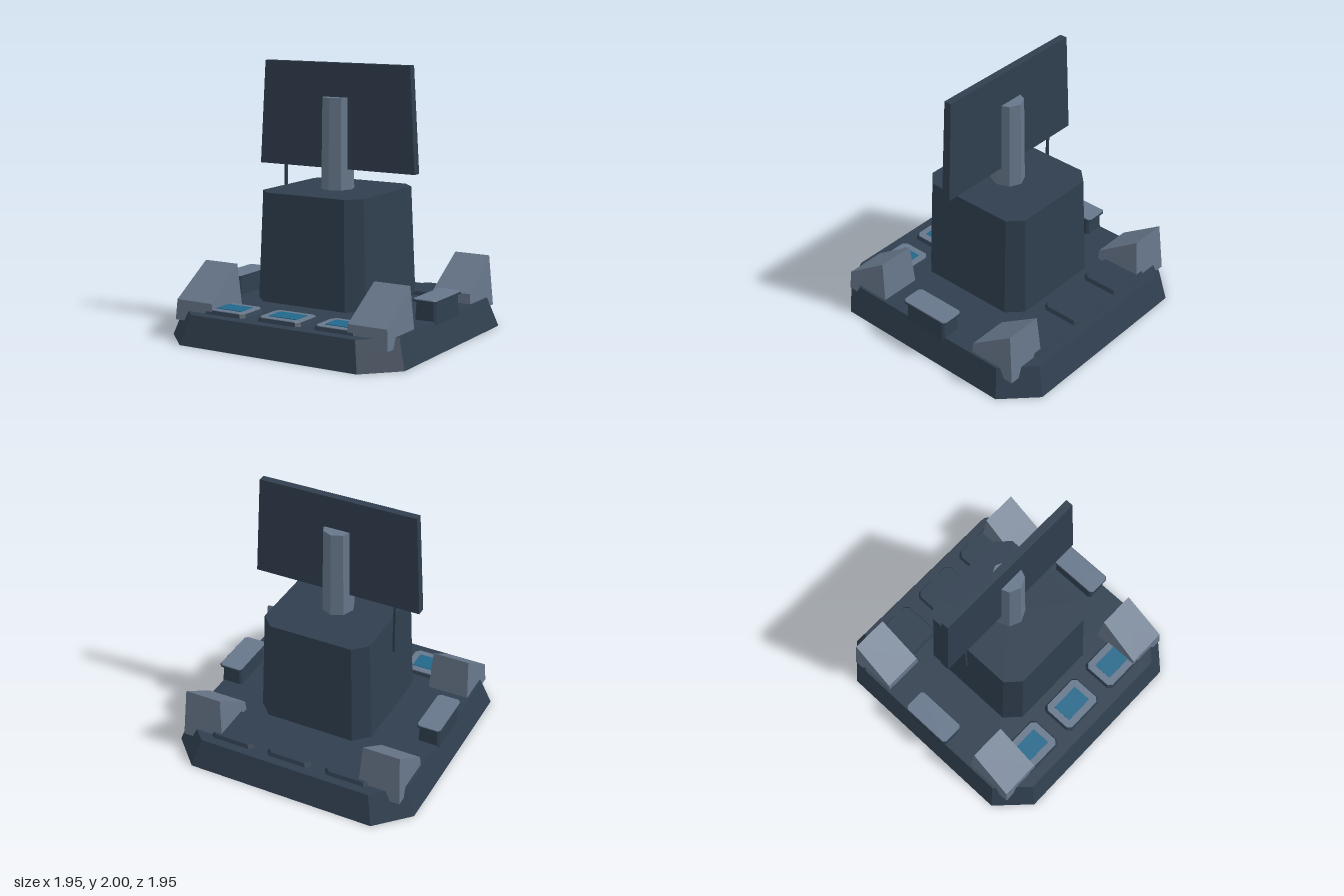
import * as THREE from 'three';

const mat = (name, color, flatShading = true) =>
  new THREE.MeshStandardMaterial({ name, color, flatShading, side: THREE.DoubleSide });

// Octagonal or rectangular outline with cut corners, running from +x towards +z
function outline(hw, hd, cut, y) {
  const pts = cut > 0
    ? [[hw, -hd + cut], [hw, hd - cut], [hw - cut, hd], [-hw + cut, hd],
       [-hw, hd - cut], [-hw, -hd + cut], [-hw + cut, -hd], [hw - cut, -hd]]
    : [[hw, -hd], [hw, hd], [-hw, hd], [-hw, -hd]];
  return pts.map(([x, z]) => new THREE.Vector3(x, y, z));
}

// Flat-faced loft through rings, capped on top and optionally below
function loft(rings, closedBottom = false) {
  const pos = [];
  const tri = (...ps) => ps.forEach(p => pos.push(p.x, p.y, p.z));
  const centre = r => r.reduce((s, p) => s.add(p), new THREE.Vector3()).divideScalar(r.length);
  const n = rings[0].length;
  for (let k = 0; k < rings.length - 1; k++) {
    const lo = rings[k], hi = rings[k + 1];
    for (let i = 0; i < n; i++) {
      const j = (i + 1) % n;
      tri(lo[i], hi[i], lo[j]);
      tri(lo[j], hi[i], hi[j]);
    }
  }
  const top = rings[rings.length - 1], bottom = rings[0];
  const ct = centre(top), cb = centre(bottom);
  for (let i = 0; i < n; i++) {
    const j = (i + 1) % n;
    tri(ct, top[j], top[i]);
    if (closedBottom) tri(cb, bottom[i], bottom[j]);
  }
  const g = new THREE.BufferGeometry();
  g.setAttribute('position', new THREE.Float32BufferAttribute(pos, 3));
  g.computeVertexNormals();
  return g;
}

export function createModel() {
  const model = new THREE.Group();
  const hull = mat('dark slate', 0x2f3e4e);
  const trim = mat('light slate', 0x66768a);
  const screen = mat('screen blue', 0x22678a);

  function add(name, geometry, material, x = 0, y = 0, z = 0, parent = model) {
    const m = new THREE.Mesh(geometry, material);
    m.name = name;
    m.position.set(x, y, z);
    parent.add(m);
    return m;
  }

  // Hollow sloped platform, open below
  add('platform', loft([outline(0.975, 0.975, 0.235, 0), outline(0.905, 0.905, 0.22, 0.215)]), hull);

  // Tapered tower, raised just above the platform
  add('tower', loft([outline(0.457, 0.48, 0.11, 0.272), outline(0.425, 0.453, 0.1, 1.075)], true), hull);

  // Mast and the upright panel it carries
  const mast = add('mast', new THREE.CylinderGeometry(0.122, 0.132, 0.675, 8), trim, 0, 1.4125, 0);
  mast.scale.x = 0.92;
  add('panel', loft([outline(0.66, 0.035, 0, 1.225), outline(0.615, 0.029, 0, 2)], true), hull);
  add('antenna', new THREE.BoxGeometry(0.018, 0.43, 0.018), hull, -0.455, 1.025, 0);

  // Wedge clamps on the corners, all sloping towards the front
  const low = outline(0.165, 0.193, 0, 0.14);
  const high = outline(0.143, 0.17, 0, 0.525);
  for (const p of high) {
    if (p.z > 0) { p.y = 0.29; p.z = 0.183; p.x = Math.sign(p.x) * 0.154; }
    else p.z = -0.158;
  }
  const clamp = loft([low, high]);
  for (const x of [-0.725, 0.725])
    for (const z of [0.627, -0.625]) add('cornerClamp', clamp, trim, x, 0, z);

  // Side lockers with a flanged lid
  for (const s of [-1, 1]) {
    const locker = new THREE.Group();
    locker.name = 'sideLocker';
    locker.position.x = s * 0.835;
    model.add(locker);
    add('lockerBody', loft([outline(0.085, 0.19, 0.015, 0.19), outline(0.08, 0.18, 0.015, 0.352)], true),
      hull, 0, 0, 0, locker);
    add('lockerFlange', loft([outline(0.095, 0.21, 0.02, 0.35), outline(0.095, 0.21, 0.02, 0.364)], true),
      hull, 0, 0, 0, locker);
    add('lockerLid', loft([outline(0.092, 0.207, 0.02, 0.364), outline(0.09, 0.205, 0.02, 0.37)]),
      trim, 0, 0, 0, locker);
  }

  // Rows of pads: front ones carry screens, rear ones are plain
  const frontPad = loft([outline(0.185, 0.143, 0.03, 0.21), outline(0.17, 0.13, 0.03, 0.242)]);
  const frontTop = loft([outline(0.17, 0.13, 0.03, 0.242), outline(0.168, 0.128, 0.03, 0.247)]);
  const rearPad = loft([outline(0.185, 0.173, 0.035, 0.21), outline(0.17, 0.16, 0.035, 0.245)]);
  for (const x of [-0.47, 0, 0.47]) {
    add('consolePad', frontPad, hull, x, 0, 0.68);
    add('consoleBezel', frontTop, trim, x, 0, 0.68);
    add('consoleScreen', new THREE.BoxGeometry(0.23, 0.005, 0.15), screen, x, 0.249, 0.68);
    add('rearPad', rearPad, hull, x, 0, -0.67);
  }

  return model;
}
